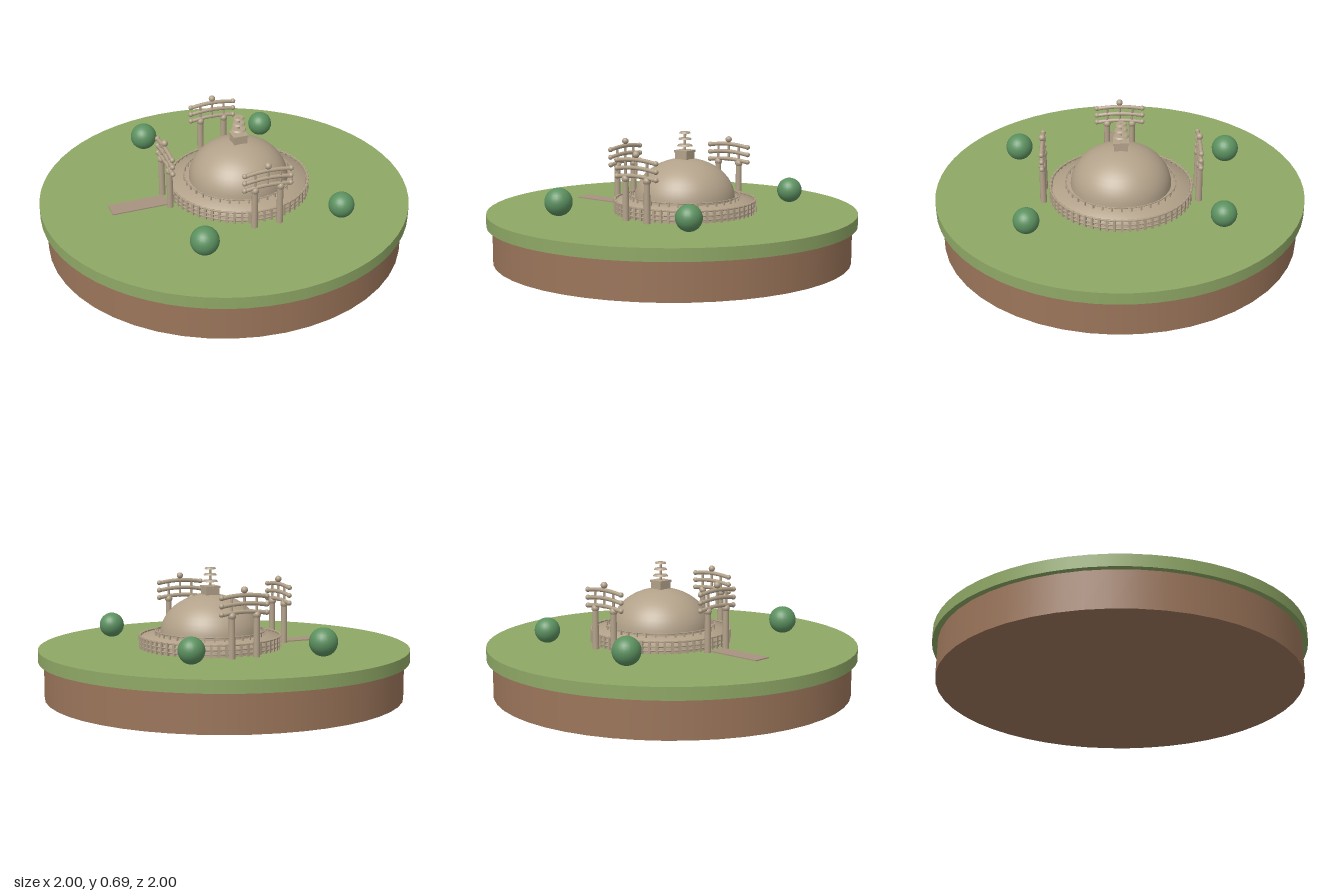
import * as THREE from 'three';

const material = (name, color) => {
  const m = new THREE.MeshStandardMaterial({ color });
  m.name = name;
  return m;
};

export function createModel() {
  const grass = material('grass', 0x8fa866);
  const soil = material('soil', 0x9b755a);
  const stone = material('stone', 0xb3a28a);
  const paving = material('paving', 0xa8927f);
  const leaf = material('leaf', 0x5c9160);
  const GROUND = 0.265;

  const model = new THREE.Group();
  model.name = 'domedShrine';

  function add(parent, name, geometry, mat, x = 0, y = 0, z = 0) {
    const mesh = new THREE.Mesh(geometry, mat);
    mesh.name = name;
    mesh.position.set(x, y, z);
    parent.add(mesh);
    return mesh;
  }
  function group(parent, name, x = 0, y = 0, z = 0, turn = 0) {
    const g = new THREE.Group();
    g.name = name;
    g.position.set(x, y, z);
    g.rotation.y = turn;
    parent.add(g);
    return g;
  }

  // Round plot of land
  add(model, 'soil', new THREE.CylinderGeometry(0.97, 0.97, 0.2, 48), soil, 0, 0.1, 0);
  add(model, 'lawn', new THREE.CylinderGeometry(1, 1, GROUND - 0.2, 64), grass, 0, (GROUND + 0.2) / 2, 0);

  // Round bushes: x, z, radius
  for (const [x, z, r] of [[-0.655, 0.055, 0.074], [0.425, 0.485, 0.074], [0.615, -0.28, 0.068], [-0.35, -0.575, 0.068]]) {
    add(model, 'bush', new THREE.SphereGeometry(r, 24, 16), leaf, x, GROUND + r + 0.01, z);
  }

  // The shrine stands a little off centre and turned
  const shrine = group(model, 'shrine', 0.025, 0, -0.08, -0.345);

  // Terrace
  const terrace = [[0.368, GROUND], [0.368, 0.325], [0.26, 0.337]];
  add(shrine, 'terrace', new THREE.LatheGeometry(terrace.map(([r, y]) => new THREE.Vector2(r, y)), 64), stone);

  // Flattened dome
  const domeProfile = [];
  for (let i = 0; i <= 12; i++) {
    const a = (i / 12) * Math.PI / 2;
    domeProfile.push(new THREE.Vector2(i === 12 ? 0 : 0.27 * Math.cos(a), 0.335 + 0.215 * Math.sin(a)));
  }
  add(shrine, 'dome', new THREE.LatheGeometry(domeProfile, 48), stone);

  // Square crown with mast and stacked parasols
  add(shrine, 'crownBox', new THREE.BoxGeometry(0.075, 0.05, 0.075), stone, 0, 0.563, 0);
  add(shrine, 'crownSlab', new THREE.BoxGeometry(0.083, 0.012, 0.083), stone, 0, 0.588, 0);
  add(shrine, 'mast', new THREE.CylinderGeometry(0.007, 0.007, 0.11, 10), stone, 0, 0.639, 0);
  [[0.042, 0.62], [0.036, 0.655], [0.031, 0.688]].forEach(([r, y]) => {
    add(shrine, 'parasol', new THREE.CylinderGeometry(r * 0.85, r, 0.009, 20), stone, 0, y, 0);
  });

  // Ring railings
  function railing(name, radius, base, height, posts, railHeights, thick) {
    const g = group(shrine, name);
    const post = new THREE.BoxGeometry(thick * 2, height, thick * 2);
    for (let i = 0; i < posts; i++) {
      const a = (i / posts) * Math.PI * 2;
      const p = add(g, 'railingPost', post, stone, radius * Math.sin(a), base + height / 2, radius * Math.cos(a));
      p.rotation.y = a;
    }
    for (const y of railHeights) {
      const rail = add(g, 'rail', new THREE.TorusGeometry(radius, thick * 0.8, 6, 64), stone, 0, y, 0);
      rail.rotation.x = Math.PI / 2;
    }
  }
  railing('outerRailing', 0.379, GROUND, 0.068, 60, [0.282, 0.304, 0.328], 0.0065);
  railing('innerRailing', 0.296, 0.328, 0.03, 36, [0.354], 0.004);

  // Gateways: two pillars carrying three bowed beams
  const HALF = 0.127;
  const beamCurve = new THREE.QuadraticBezierCurve3(
    new THREE.Vector3(-HALF, -0.008, 0), new THREE.Vector3(0, 0.016, 0), new THREE.Vector3(HALF, -0.008, 0));
  const beamGeometry = new THREE.TubeGeometry(beamCurve, 12, 0.011, 8);
  const scroll = new THREE.SphereGeometry(0.014, 12, 8);
  const pillar = new THREE.CylinderGeometry(0.016, 0.018, 0.215, 12);
  const strut = new THREE.CylinderGeometry(0.007, 0.007, 0.1, 8);

  function gateway(x, z, turn) {
    const g = group(shrine, 'gateway', x, 0, z, turn);
    for (const side of [-1, 1]) {
      add(g, 'pillar', pillar, stone, side * 0.07, GROUND + 0.1075, 0);
      add(g, 'capital', new THREE.SphereGeometry(0.021, 12, 8), stone, side * 0.07, 0.482, 0);
      add(g, 'strut', strut, stone, side * 0.07, 0.53, 0);
    }
    add(g, 'strut', strut, stone, 0, 0.54, 0);
    for (const y of [0.498, 0.54, 0.582]) {
      add(g, 'beam', beamGeometry, stone, 0, y, 0);
      for (const side of [-1, 1]) add(g, 'beamEnd', scroll, stone, side * HALF, y - 0.006, 0);
    }
    add(g, 'finial', new THREE.SphereGeometry(0.018, 14, 10), stone, 0, 0.612, 0);
  }
  gateway(0, 0.414, 0);
  gateway(0.414, 0, Math.PI / 2);
  gateway(-0.414, 0, -Math.PI / 2);

  // Paved path leading to the front gateway
  add(shrine, 'path', new THREE.BoxGeometry(0.1, 0.006, 0.31), paving, 0, GROUND + 0.003, 0.57);

  return model;
}
